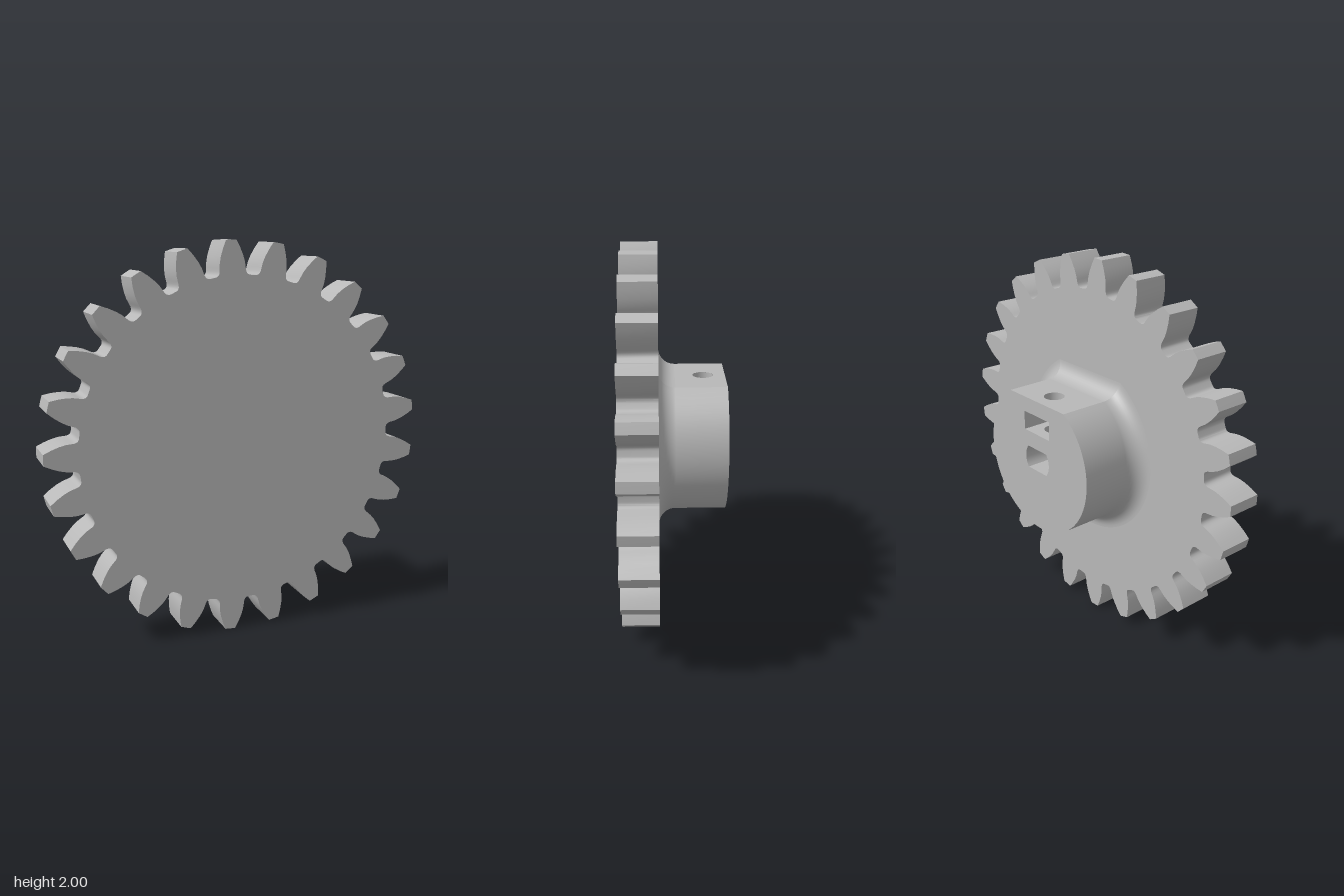
import * as THREE from 'three';
import { toCreasedNormals } from 'three/addons/utils/BufferGeometryUtils.js';

const TEETH = 25;
const FRONT = 0.265, GEAR_BACK = 0.08, HUB_BACK = -0.265;
const HUB_R = 0.39, FLAT_Y = 0.325, FILLET = 0.085;
const SCREW_R = 0.053, SCREW_Z = -0.15;
const SLOT = { w: 0.1, y0: 0.145, y1: 0.245, end: -0.05 };
const BORE = { r: 0.095, h: 0.06 };
const BORE_W = Math.sqrt(BORE.r ** 2 - BORE.h ** 2);

// Surface through rings of [x, y] points, each ring at its own z
function loft(rings) {
  const n = rings[0].points.length, pos = [], idx = [];
  for (const { z, points } of rings) for (const [x, y] of points) pos.push(x, y, z);
  for (let i = 0; i < rings.length - 1; i++) {
    for (let j = 0; j < n - 1; j++) {
      const a = i * n + j, b = a + n;
      idx.push(a, a + 1, b, a + 1, b + 1, b);
    }
  }
  const g = new THREE.BufferGeometry();
  g.setAttribute('position', new THREE.Float32BufferAttribute(pos, 3));
  g.setIndex(idx);
  g.computeVertexNormals();
  return g;
}

function arc(r, from, to, steps) {
  return Array.from({ length: steps + 1 }, (_, i) => {
    const a = from + ((to - from) * i) / steps;
    return [r * Math.cos(a), r * Math.sin(a)];
  });
}

const toShape = (pts, Type = THREE.Shape) => new Type(pts.map(([x, y]) => new THREE.Vector2(x, y)));
const rect = (w, y0, y1) => [[-w, y0], [w, y0], [w, y1], [-w, y1]];

// Hub outline (round with one flat on top), grown outward by d
function hubArc(d) {
  const a = Math.acos((FLAT_Y + d) / (HUB_R + d));
  return arc(HUB_R + d, Math.PI / 2 + a, Math.PI * 2.5 - a, 72);
}

// Shaft hole outline: circle cut flat above and below
function boreSide(sign) {
  const a = Math.asin(BORE.h / BORE.r), c = sign > 0 ? 0 : Math.PI;
  return arc(BORE.r, c - a, c + a, 12);
}

// Horizontal wall, pierced by the screw hole if asked
function level(y, w, z0, z1, pierced) {
  const s = toShape(rect(w, -z1, -z0));
  if (pierced) s.holes.push(new THREE.Path().absarc(0, -SCREW_Z, SCREW_R, 0, Math.PI * 2, true));
  return new THREE.ShapeGeometry(s, 24).rotateX(-Math.PI / 2).translate(0, y, 0);
}

// Involute-like teeth with rounded roots
function gearShape() {
  const flank = [[0.833, 6.4], [0.834, 5.75], [0.838, 5.25], [0.845, 4.85], [0.856, 4.58], [0.872, 4.43],
    [0.895, 4.19], [0.926, 3.6], [0.965, 2.6], [1.0, 1.55]];
  const half = [...flank.map(([r, a]) => [r, -a]), [1.0, 0], ...flank.slice().reverse()];
  const pts = [];
  for (let t = 0; t < TEETH; t++) {
    const mid = Math.PI + (t * Math.PI * 2) / TEETH;
    for (const [r, deg] of half) {
      const a = mid + THREE.MathUtils.degToRad(deg);
      pts.push([r * Math.cos(a), r * Math.sin(a)]);
    }
  }
  return toShape(pts);
}

export function createModel() {
  const model = new THREE.Group();
  model.name = 'spurGear';
  const grey = new THREE.MeshStandardMaterial({ color: 0xb8b8b8, side: THREE.DoubleSide });
  grey.name = 'grey';
  const add = (name, geometry, parent) => {
    const m = new THREE.Mesh(geometry, grey);
    m.name = name;
    parent.add(m);
  };
  const group = (name) => {
    const g = new THREE.Group();
    g.name = name;
    g.position.y = 1;
    model.add(g);
    return g;
  };

  // Toothed wheel
  const wheel = group('wheel');
  const disc = new THREE.ExtrudeGeometry(gearShape(), { depth: FRONT - GEAR_BACK, bevelEnabled: false });
  add('toothedDisc', toCreasedNormals(disc.translate(0, 0, GEAR_BACK), 0.6), wheel);

  // Hub wall, flaring into the wheel through a fillet
  const hub = group('hub');
  const fillet = Array.from({ length: 11 }, (_, i) => {
    const a = (i / 10) * Math.PI / 2;
    return { d: FILLET * (1 - Math.cos(a)), z: GEAR_BACK - FILLET + FILLET * Math.sin(a) };
  });
  const wallRings = [{ d: 0, z: HUB_BACK }, ...fillet].map(({ d, z }) => ({ z, points: hubArc(d) }));
  add('hubWall', loft(wallRings), hub);
  add('flatFillet', loft(wallRings.slice(1).map(({ z, points }) => ({
    z, points: [points[points.length - 1], points[0]],
  }))), hub);
  const flatW = Math.sqrt(HUB_R ** 2 - FLAT_Y ** 2);
  add('hubFlat', level(FLAT_Y, flatW, HUB_BACK, GEAR_BACK - FILLET, true), hub);

  // Hub end face with nut slot and shaft hole cut out
  const end = toShape(hubArc(0));
  end.holes.push(toShape(rect(SLOT.w, SLOT.y0, SLOT.y1), THREE.Path));
  end.holes.push(toShape([...boreSide(1), ...boreSide(-1)], THREE.Path));
  add('hubEnd', new THREE.ShapeGeometry(end).rotateY(Math.PI).translate(0, 0, HUB_BACK), hub);

  // Nut slot lining
  const slot = group('nutSlot');
  add('slotTop', level(SLOT.y1, SLOT.w, HUB_BACK, SLOT.end, true), slot);
  add('slotFloor', level(SLOT.y0, SLOT.w, HUB_BACK, SLOT.end, true), slot);
  for (const x of [-SLOT.w, SLOT.w]) {
    const points = [[x, SLOT.y0], [x, SLOT.y1]];
    add('slotSide', loft([{ z: HUB_BACK, points }, { z: SLOT.end, points }]), slot);
  }
  add('slotEnd', new THREE.ShapeGeometry(toShape(rect(SLOT.w, SLOT.y0, SLOT.y1))).translate(0, 0, SLOT.end), slot);

  // Shaft hole lining, closed by the back of the wheel
  const bore = group('shaftHole');
  add('boreTop', level(BORE.h, BORE_W, HUB_BACK, GEAR_BACK, true), bore);
  add('boreFloor', level(-BORE.h, BORE_W, HUB_BACK, GEAR_BACK, false), bore);
  for (const s of [-1, 1]) {
    const points = boreSide(s);
    add('boreSide', loft([{ z: HUB_BACK, points }, { z: GEAR_BACK, points }]), bore);
  }

  // Screw hole from the flat to the slot, and from the slot to the shaft
  const screw = group('screwHole');
  for (const [y0, y1] of [[SLOT.y1, FLAT_Y], [BORE.h, SLOT.y0]]) {
    const tube = new THREE.CylinderGeometry(SCREW_R, SCREW_R, y1 - y0, 24, 1, true);
    add('screwBore', tube.translate(0, (y0 + y1) / 2, SCREW_Z), screw);
  }
  return model;
}
